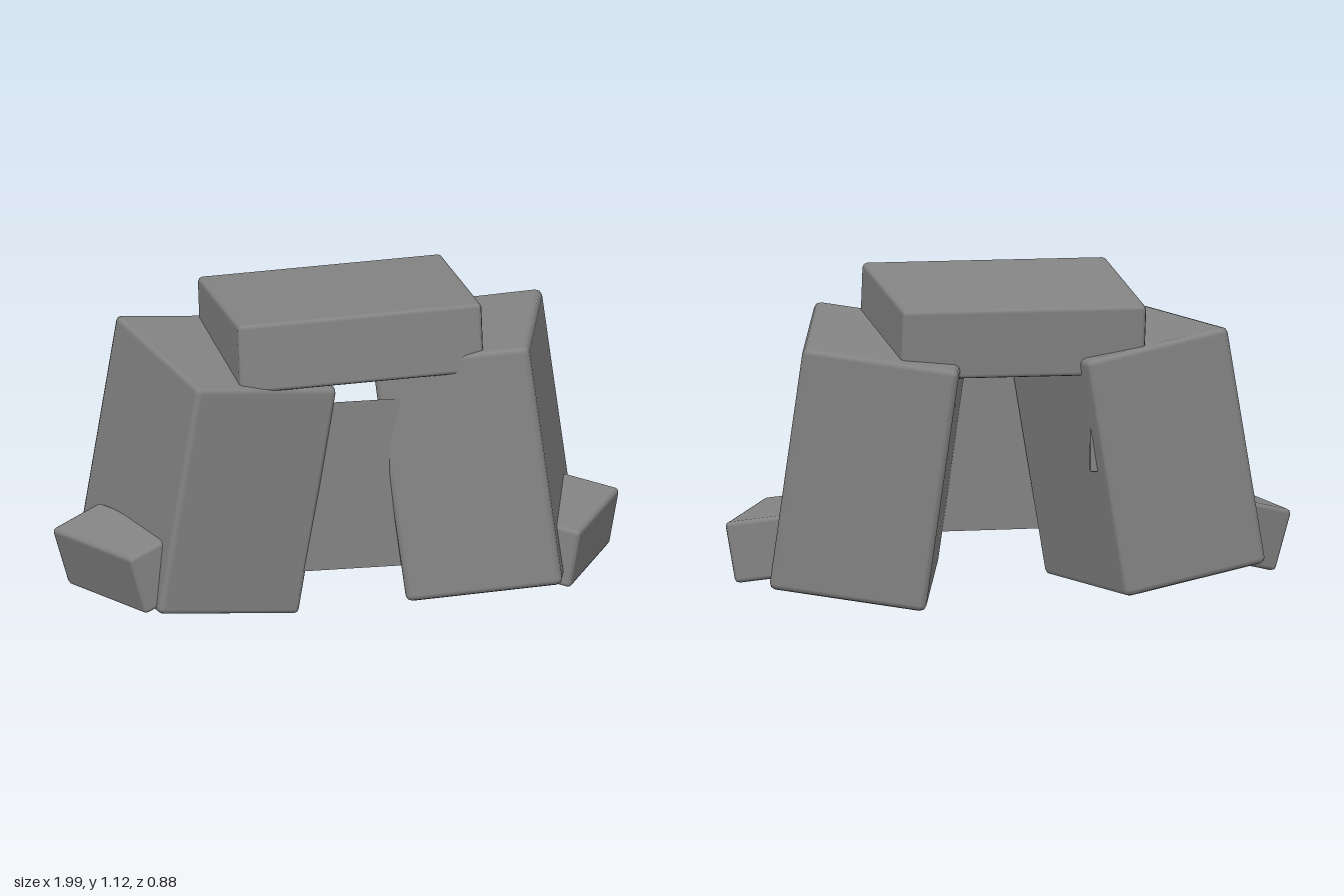
import * as THREE from 'three';
import { RoundedBoxGeometry } from 'three/addons/geometries/RoundedBoxGeometry.js';

export function createModel() {
  const group = new THREE.Group();
  const stoneGrey = new THREE.MeshStandardMaterial({ color: 0x848484 });
  stoneGrey.name = 'stoneGrey';
  const panelGrey = new THREE.MeshStandardMaterial({ color: 0x848484, side: THREE.DoubleSide });
  panelGrey.name = 'panelGrey';

  // Tilted bevelled block from one corner and its three edge vectors
  function stone(name, corner, across, up, depth, radius = 0.022) {
    const [p, u, v, w] = [corner, across, up, depth].map((a) => new THREE.Vector3(...a));
    const pad = radius * 0.5;
    const geometry = new RoundedBoxGeometry(
      u.length() + pad, v.length() + pad, w.length() + pad, 1, radius);
    const x = u.clone().normalize();
    const y = v.clone().addScaledVector(x, -v.dot(x)).normalize();
    const z = x.clone().cross(y);
    const mesh = new THREE.Mesh(geometry, stoneGrey);
    mesh.name = name;
    mesh.quaternion.setFromRotationMatrix(new THREE.Matrix4().makeBasis(x, y, z));
    mesh.position.copy(p).addScaledVector(u, 0.5).addScaledVector(v, 0.5).addScaledVector(w, 0.5);
    group.add(mesh);
  }

  // Two leaning pillars, each from its outer top front corner
  stone('leftPillar', [0.6, 0.99, 0.36], [-0.52, -0.075, -0.12], [0.12, -0.85, 0.08], [0.16, -0.045, -0.68]);
  stone('rightPillar', [-0.56, 0.925, 0.415], [0.51, -0.08, -0.134], [-0.14, -0.825, -0.01], [-0.17, 0.045, -0.675]);

  // Lintel resting across the pillars
  stone('lintel', [-0.41, 1.12, 0.33], [0.86, 0.015, -0.04], [0.005, -0.24, 0.02], [-0.02, -0.055, -0.66], 0.016);

  // Small stones leaning on the outer sides, each from its top back corner
  stone('leftFootStone', [1.0, 0.295, -0.05], [-0.18, 0.035, -0.09], [-0.035, -0.205, -0.015], [-0.21, 0, 0.425], 0.016);
  stone('rightFootStone', [-1.0, 0.298, -0.04], [0.18, 0.055, -0.085], [0.04, -0.21, 0], [0.22, -0.01, 0.435], 0.016);

  // Thin door panel closing the front opening
  const panel = new THREE.Mesh(new THREE.PlaneGeometry(0.44, 0.62), panelGrey);
  panel.name = 'doorPanel';
  panel.position.set(0.04, 0.49, 0.276);
  group.add(panel);

  // Chips showing on the inner faces near the back
  stone('rightChip', [-0.25, 0.74, -0.33], [0.03, 0, 0], [-0.04, -0.25, 0], [0, 0, 0.03], 0.004);
  stone('leftChip', [0.27, 0.8, -0.37], [-0.03, 0, 0], [0.01, -0.06, 0], [0, 0, 0.03], 0.004);

  return group;
}
